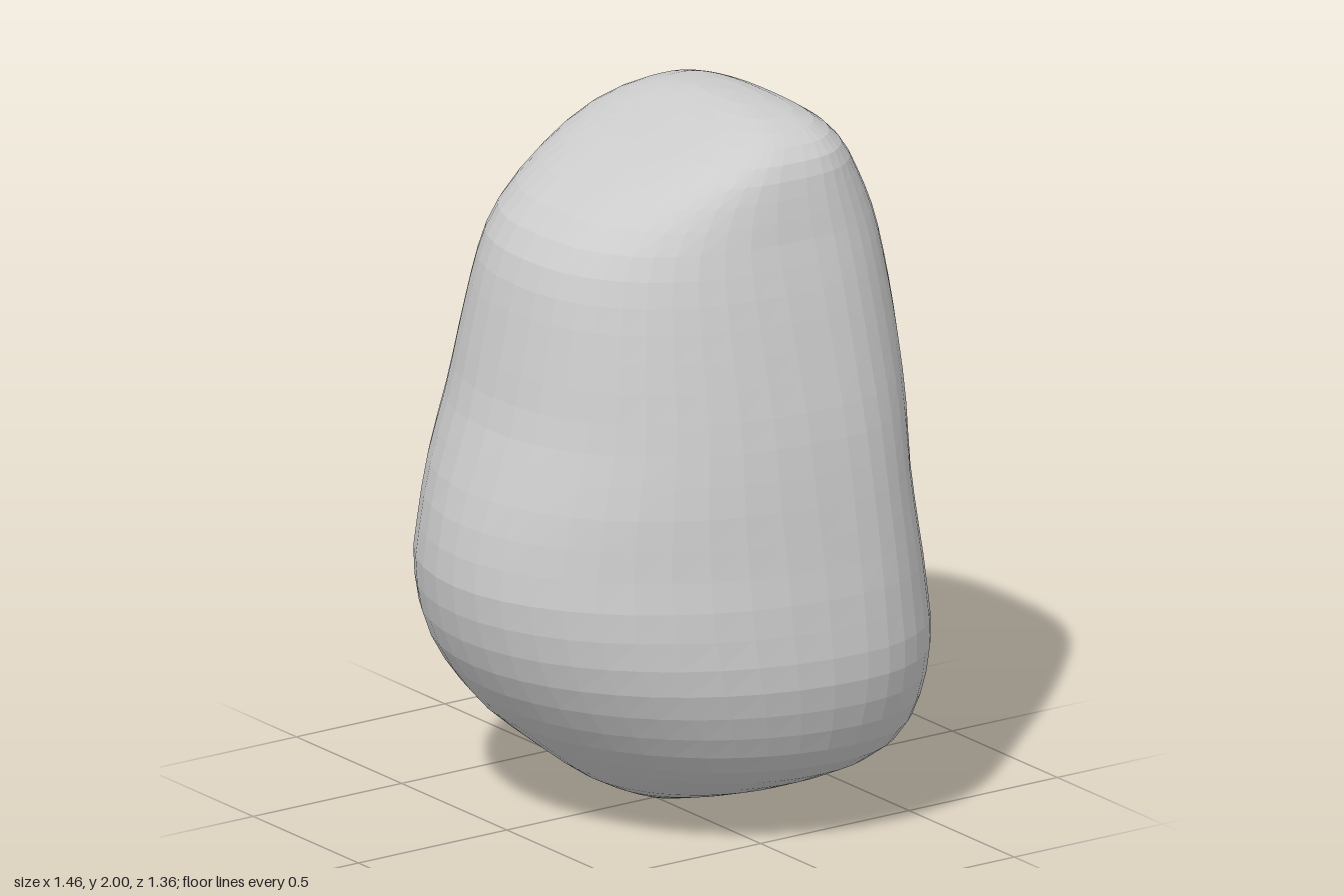
import * as THREE from 'three';

// Cross-sections from bottom to top:
// [height, half width, front z, back z, z of widest point, front roundness, back roundness]
const SECTIONS = [
  [0.00, 0.00, -0.04, -0.06, -0.05, 2.0, 2.0],
  [0.03, 0.15, 0.08, -0.28, -0.10, 2.0, 2.0],
  [0.10, 0.37, 0.22, -0.46, -0.15, 2.0, 2.1],
  [0.20, 0.58, 0.35, -0.59, -0.18, 2.0, 2.2],
  [0.30, 0.67, 0.47, -0.645, -0.20, 2.0, 2.2],
  [0.50, 0.73, 0.62, -0.68, -0.20, 2.0, 2.2],
  [0.70, 0.715, 0.68, -0.665, -0.20, 2.0, 2.2],
  [0.85, 0.69, 0.67, -0.635, -0.20, 2.0, 2.3],
  [1.00, 0.665, 0.63, -0.62, -0.20, 2.1, 2.3],
  [1.20, 0.625, 0.56, -0.637, -0.20, 2.2, 2.2],
  [1.40, 0.57, 0.515, -0.63, -0.20, 2.3, 2.2],
  [1.60, 0.51, 0.465, -0.60, -0.20, 2.4, 2.3],
  [1.70, 0.475, 0.41, -0.575, -0.20, 2.5, 2.4],
  [1.80, 0.445, 0.29, -0.53, -0.20, 2.6, 2.5],
  [1.90, 0.405, 0.08, -0.47, -0.22, 3.0, 2.6],
  [1.95, 0.345, -0.05, -0.42, -0.24, 3.0, 2.6],
  [1.985, 0.24, -0.15, -0.35, -0.25, 3.0, 2.6],
  [2.00, 0.00, -0.24, -0.26, -0.25, 3.0, 2.6],
];

const ROWS = 36;
const SIDES = 48;

// Heights are spaced like the latitudes of a sphere, so both ends close roundly
const rowOf = (y) => Math.acos(1 - y) / Math.PI;

// Smooth interpolation of one column of the section table
function sample(t, column) {
  let i = 0;
  while (i < SECTIONS.length - 2 && t > rowOf(SECTIONS[i + 1][0])) i++;
  const at = (k) => SECTIONS[Math.min(Math.max(k, 0), SECTIONS.length - 1)];
  const slope = (k) => {
    const a = at(k - 1), b = at(k + 1);
    return (b[column] - a[column]) / (rowOf(b[0]) - rowOf(a[0]));
  };
  const t0 = rowOf(at(i)[0]), t1 = rowOf(at(i + 1)[0]);
  const d = t1 - t0, u = (t - t0) / d;
  return (2 * u ** 3 - 3 * u * u + 1) * at(i)[column] + (u ** 3 - 2 * u * u + u) * d * slope(i)
    + (3 * u * u - 2 * u ** 3) * at(i + 1)[column] + (u ** 3 - u * u) * d * slope(i + 1);
}

const power = (v, n) => Math.sign(v) * Math.abs(v) ** (2 / n);

function bodyGeometry() {
  const positions = [], index = [];
  for (let r = 0; r <= ROWS; r++) {
    const t = r / ROWS;
    const y = 1 - Math.cos(Math.PI * t);
    const [w, front, back, mid, nFront, nBack] = [1, 2, 3, 4, 5, 6].map((c) => sample(t, c));
    const end = r === 0 || r === ROWS;
    for (let s = 0; s < SIDES; s++) {
      const a = (s / SIDES) * Math.PI * 2;
      const isFront = Math.cos(a) >= 0;
      const n = isFront ? nFront : nBack;
      const depth = isFront ? front - mid : mid - back;
      // Both ends close to a single point
      positions.push(end ? 0 : w * power(Math.sin(a), n), y, end ? mid : mid + depth * power(Math.cos(a), n));
    }
  }
  for (let r = 0; r < ROWS; r++) {
    for (let s = 0; s < SIDES; s++) {
      const a = r * SIDES + s, b = r * SIDES + ((s + 1) % SIDES);
      const c = b + SIDES, d = a + SIDES;
      if (r > 0) index.push(a, b, c);
      if (r < ROWS - 1) index.push(a, c, d);
      if (r === 0) continue;
    }
  }
  const geometry = new THREE.BufferGeometry();
  geometry.setAttribute('position', new THREE.Float32BufferAttribute(positions, 3));
  geometry.setIndex(index);
  geometry.computeVertexNormals();
  return geometry;
}

export function createModel() {
  const group = new THREE.Group();
  group.name = 'roundedBody';
  // One closed, tapering body with a slanted top and a keeled underside
  const body = new THREE.Mesh(
    bodyGeometry(),
    new THREE.MeshStandardMaterial({ color: 0xcccccc, flatShading: true }),
  );
  body.name = 'body';
  group.add(body);
  return group;
}
